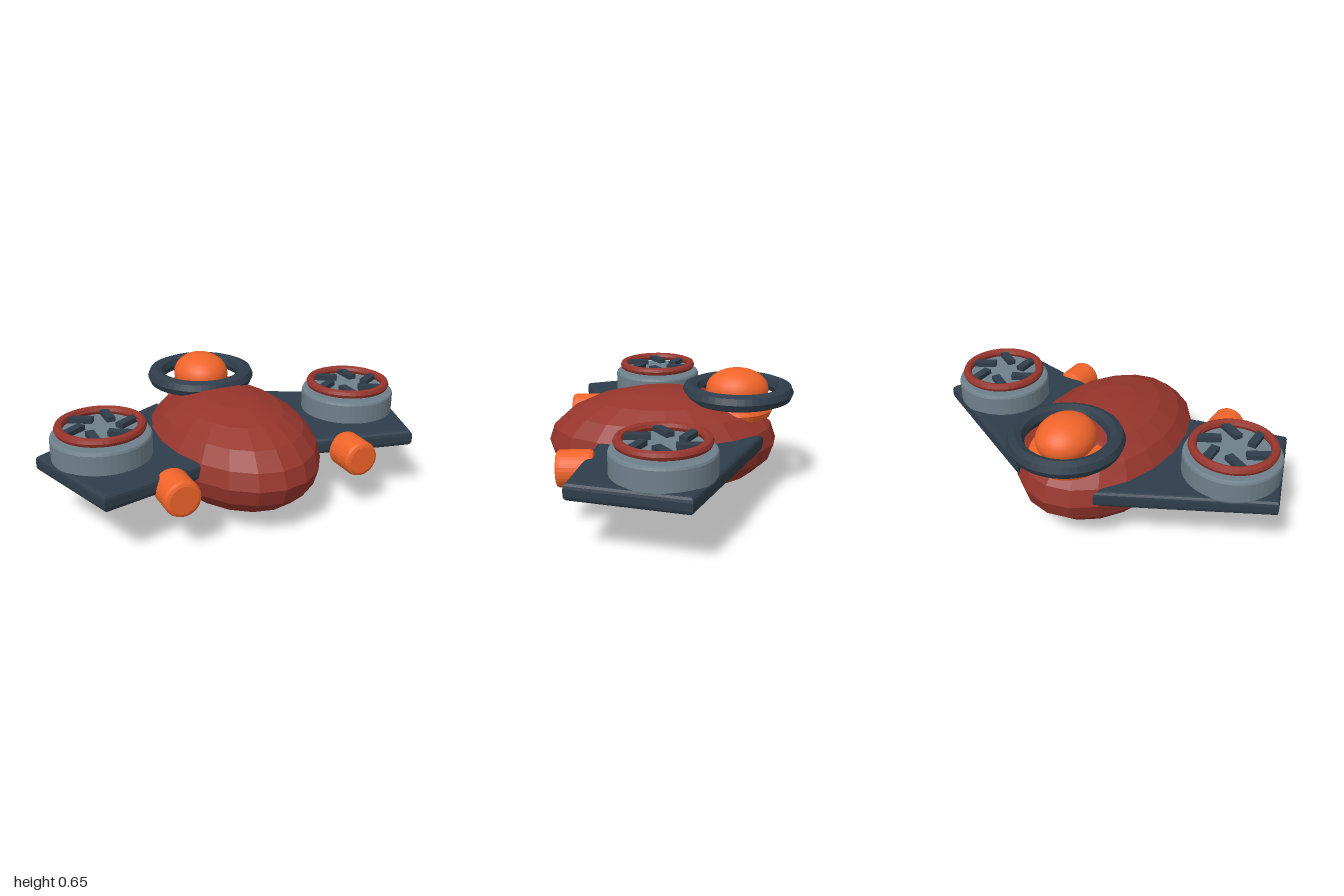
import * as THREE from 'three';

const paint = (color, flatShading = false) => {
  const m = new THREE.MeshStandardMaterial({ flatShading });
  m.color.set(color);
  return m;
};

export function createModel() {
  const model = new THREE.Group();
  const red = paint(0x96352c), redFlat = paint(0x96352c, true);
  const orange = paint(0xf0642a), orangeFlat = paint(0xf0642a, true);
  const dark = paint(0x2f3d4a), darkFlat = paint(0x2f3d4a, true);
  const grey = paint(0x6f808a, true);

  const add = (name, geometry, material, x, y, z, parent = model) => {
    const mesh = new THREE.Mesh(geometry, material);
    mesh.name = name;
    mesh.position.set(x, y, z);
    parent.add(mesh);
    return mesh;
  };
  const flatRing = (radius, tube) => new THREE.TorusGeometry(radius, tube, 8, 48).rotateX(Math.PI / 2);

  // Solid cylinder with a small bevel on both rims, centred on its middle
  const bevelCylinder = (r, h, b, sides) => new THREE.LatheGeometry([
    [0, -h / 2], [r - b, -h / 2], [r - b * 0.3, -h / 2 + b * 0.3], [r, -h / 2 + b],
    [r, h / 2 - b], [r - b * 0.3, h / 2 - b * 0.3], [r - b, h / 2], [0, h / 2],
  ].map(([x, y]) => new THREE.Vector2(x, y)), sides);

  // Faceted egg-shaped hull
  add('body', new THREE.SphereGeometry(1, 20, 10).scale(0.41, 0.275, 0.597), redFlat, 0, 0.28, 0.042);

  // Rear turret: collar, dome and surrounding ring
  add('turretCollar', flatRing(0.148, 0.05), orangeFlat, 0, 0.448, -0.335);
  add('turretDome', new THREE.SphereGeometry(1, 24, 14).scale(0.145, 0.11, 0.164), orange, 0, 0.545, -0.345);
  add('turretRing', flatRing(0.245, 0.045), darkFlat, 0, 0.535, -0.348);

  for (const side of [1, -1]) {
    const label = side > 0 ? 'left' : 'right';

    // Swept wing plate with rounded edges
    const outline = [[0.22, -0.455], [1.0, -0.055], [0.825, 0.492], [0.31, 0.375]];
    const shape = new THREE.Shape(outline.map(([x, z]) => new THREE.Vector2(side * x, -z)));
    const wing = new THREE.ExtrudeGeometry(shape, {
      depth: 0.035, bevelThickness: 0.025, bevelSize: 0.025, bevelOffset: -0.025, bevelSegments: 3,
    }).rotateX(-Math.PI / 2);
    add(label + 'Wing', wing, dark, 0, 0.305, 0);

    // Forward thruster under the wing's front edge
    const thruster = bevelCylinder(0.09, 0.18, 0.02, 32).rotateX(Math.PI / 2);
    add(label + 'Thruster', thruster, orangeFlat, side * 0.477, 0.297, 0.465);

    // Lift fan: housing, rim and pinwheel blades
    const fan = new THREE.Group();
    fan.name = label + 'Fan';
    fan.position.set(side * 0.7, 0, 0.058);
    model.add(fan);
    add('fanHousing', bevelCylinder(0.246, 0.13, 0.015, 48), grey, 0, 0.412, 0, fan);
    add('fanRim', flatRing(0.2, 0.0225), redFlat, 0, 0.511, 0, fan);
    for (let i = 0; i < 6; i++) {
      const a = (i * Math.PI) / 3;
      const blade = add('fanBlade', new THREE.BoxGeometry(0.135, 0.025, 0.043), dark,
        0.14 * Math.cos(a), 0.508, 0.14 * Math.sin(a), fan);
      blade.rotation.y = -(a - Math.PI / 6);
    }
  }
  return model;
}
